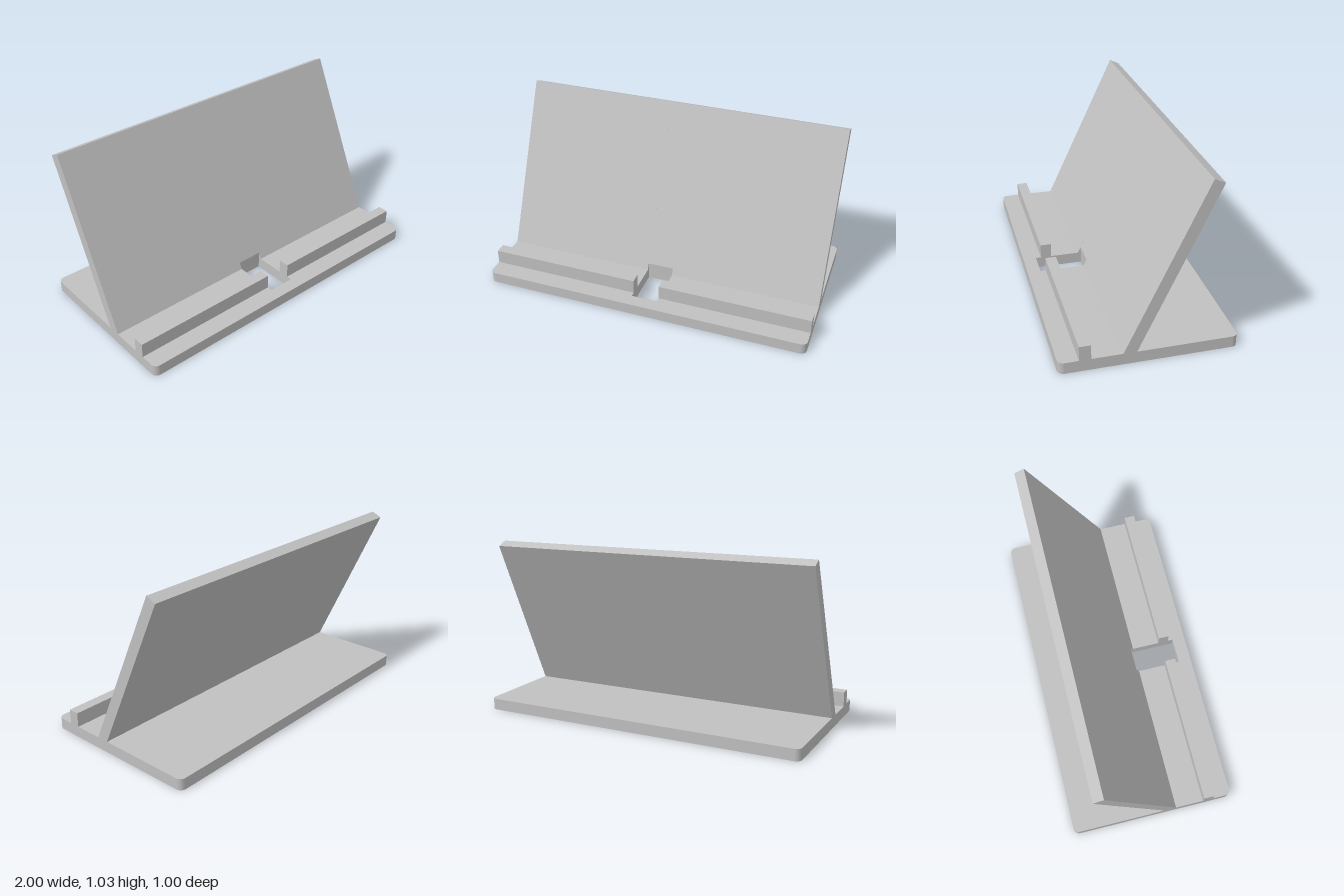
import * as THREE from 'three';
import { toCreasedNormals } from 'three/addons/utils/BufferGeometryUtils.js';

const BASE_TOP = 0.068;
const SLOT = { halfWidth: 0.08, back: 0.13, front: 0.42 };

// Extrude a side profile of [z, y] points along x, from x0 to x1
function extrudeProfile(points, x0, x1) {
  const shape = new THREE.Shape(points.map(([z, y]) => new THREE.Vector2(-z, y)));
  const geometry = new THREE.ExtrudeGeometry(shape, { depth: x1 - x0, bevelEnabled: false });
  return geometry.rotateY(Math.PI / 2).translate(x0, 0, 0);
}

// Rounded slab with a rectangular cable slot
function baseGeometry() {
  const w = 1, d = 0.5, r = 0.035;
  const shape = new THREE.Shape();
  shape.absarc(w - r, d - r, r, 0, Math.PI / 2);
  shape.absarc(-w + r, d - r, r, Math.PI / 2, Math.PI);
  shape.absarc(-w + r, -d + r, r, Math.PI, Math.PI * 1.5);
  shape.absarc(w - r, -d + r, r, Math.PI * 1.5, Math.PI * 2);
  const { halfWidth: h, back, front } = SLOT;
  shape.holes.push(new THREE.Path([
    new THREE.Vector2(-h, -front), new THREE.Vector2(-h, -back),
    new THREE.Vector2(h, -back), new THREE.Vector2(h, -front),
  ]));
  const geometry = new THREE.ExtrudeGeometry(shape, { depth: BASE_TOP, bevelEnabled: false, curveSegments: 8 });
  return toCreasedNormals(geometry.rotateX(-Math.PI / 2), 0.6);
}

export function createModel() {
  const group = new THREE.Group();
  const material = new THREE.MeshStandardMaterial({ color: 0xc0c0c0 });
  material.name = 'light grey';
  const add = (name, geometry, parent = group) => {
    const mesh = new THREE.Mesh(geometry, material);
    mesh.name = name;
    parent.add(mesh);
  };

  add('base', baseGeometry());

  // Leaning back rest, notched at the bottom where the slot cuts into it
  const backRest = new THREE.Group();
  backRest.name = 'backRest';
  group.add(backRest);
  const upper = [[-0.302, 1.03], [-0.362, 1.003], [0.073, BASE_TOP]];
  const full = [[0.148, BASE_TOP], ...upper];
  const notched = [[SLOT.back, BASE_TOP], [SLOT.back, 0.106], ...upper];
  const h = SLOT.halfWidth;
  add('backRestRight', extrudeProfile(full, -1, -h), backRest);
  add('backRestMiddle', extrudeProfile(notched, -h, h), backRest);
  add('backRestLeft', extrudeProfile(full, h, 1), backRest);

  // Front lip, split by the slot
  const lip = [[0.388, BASE_TOP], [0.388, 0.155], [0.322, 0.155], [0.322, BASE_TOP]];
  add('frontLipRight', extrudeProfile(lip, -1, -h));
  add('frontLipLeft', extrudeProfile(lip, h, 1));

  return group;
}
